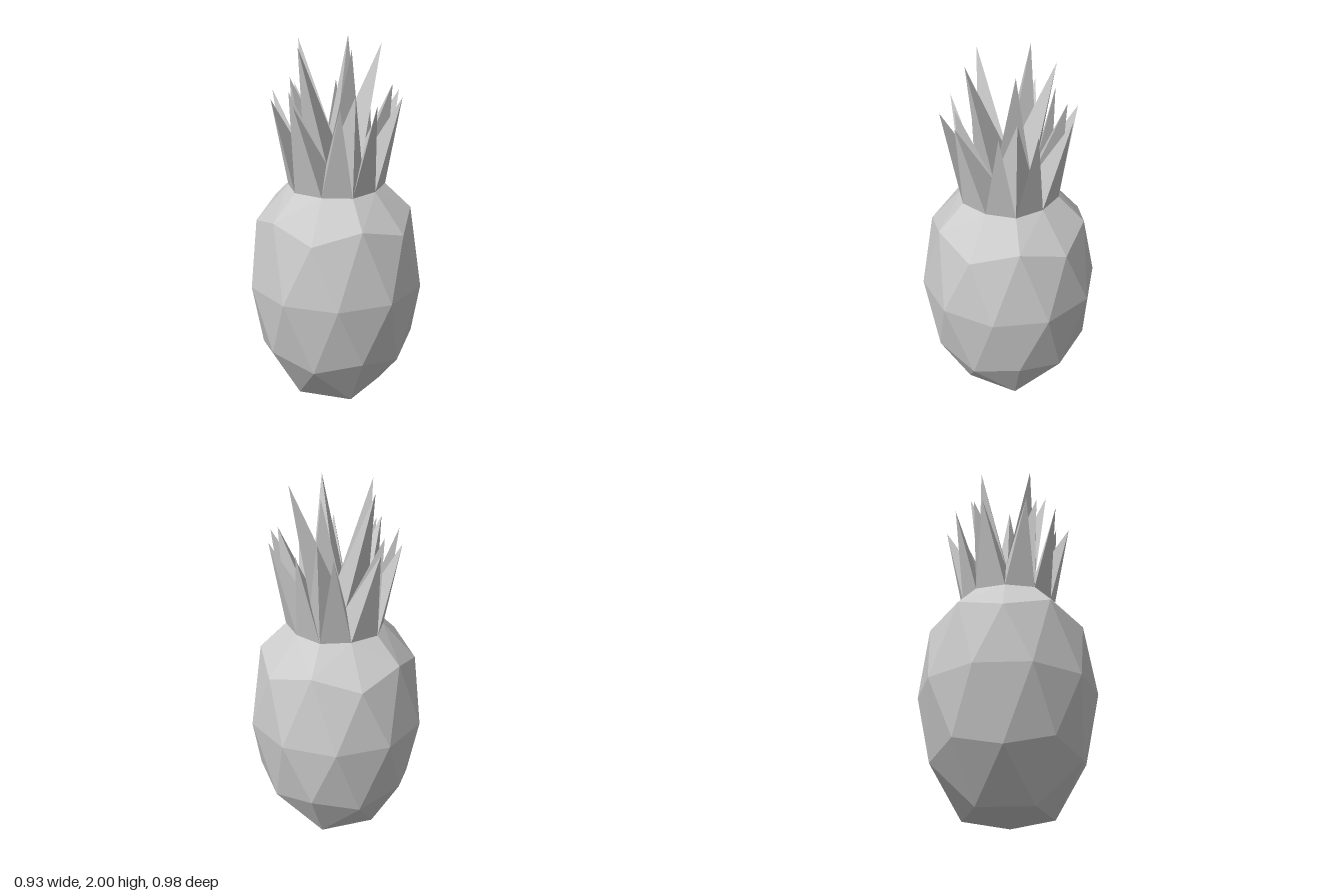
import * as THREE from 'three';

const grey = () => new THREE.MeshStandardMaterial({ color: 0xcccccc, flatShading: true });

// Point from radius, angle in degrees and height
const polar = (r, deg, y) => {
  const a = THREE.MathUtils.degToRad(deg);
  return new THREE.Vector3(r * Math.cos(a), y, r * Math.sin(a));
};

// Ring of ten points that alternates between two [radius, height] pairs
const ring = (even, odd, offset = 0) =>
  Array.from({ length: 10 }, (_, i) => polar((i % 2 ? odd : even)[0], i * 36 + offset, (i % 2 ? odd : even)[1]));

// Faceted mesh; each triangle is wound to face away from the inner point
function facetMesh(name, triangles, inner) {
  const points = [];
  for (const [a, b, c] of triangles) {
    const normal = b.clone().sub(a).cross(c.clone().sub(a));
    const outward = normal.dot(a.clone().sub(inner)) > 0;
    points.push(...(outward ? [a, b, c] : [a, c, b]));
  }
  const geometry = new THREE.BufferGeometry().setFromPoints(points);
  geometry.computeVertexNormals();
  const mesh = new THREE.Mesh(geometry, grey());
  mesh.name = name;
  return mesh;
}

// Leaf: three-sided spike on a base triangle
function leaf(name, base, tip) {
  const [a, b, c] = base;
  const inner = new THREE.Vector3();
  [a, b, c, tip].forEach((p) => inner.addScaledVector(p, 0.25));
  return facetMesh(name, [[a, b, tip], [b, c, tip], [c, a, tip]], inner);
}

export function createModel() {
  const model = new THREE.Group();
  model.name = 'pineapple';

  const collar = ring([0.258, 1.23], [0.272, 1.23]);
  const shoulder = ring([0.438, 1.02], [0.415, 1.09]);
  const equator = ring([0.49, 0.68], [0.49, 0.68], 18);
  const lower = ring([0.417, 0.27], [0.438, 0.33]);
  const foot = ring([0.258, 0.016], [0.258, 0.016]); // only odd points are used
  const bottom = new THREE.Vector3(0, 0, 0);

  // Fruit body: faceted ellipsoid
  const faces = [];
  for (let i = 0; i < 10; i++) {
    const n = (i + 1) % 10;
    for (const band of [shoulder, lower]) {
      faces.push([band[i], band[n], equator[i]], [equator[i], equator[n], band[n]]);
    }
    const even = i % 2 ? n : i;
    const odd = i % 2 ? i : n;
    faces.push([shoulder[even], shoulder[odd], collar[even]], [shoulder[odd], collar[even], collar[odd]]);
    faces.push([lower[even], lower[odd], foot[odd]]);
    if (i % 2) {
      const next = foot[(i + 2) % 10];
      faces.push([lower[n], foot[i], next], [bottom, foot[i], next]);
    }
  }
  model.add(facetMesh('fruitBody', faces, new THREE.Vector3(0, 0.68, 0)));

  // Crown: spikes rising from every facet of a small dome
  const crown = new THREE.Group();
  crown.name = 'crown';
  const top = new THREE.Vector3(0, 1.46, 0);
  for (let k = 0; k < 5; k++) {
    const angle = k * 72 + 36;
    const v0 = polar(0.168, angle - 36, 1.39);
    const v1 = polar(0.168, angle + 36, 1.39);
    const [b0, b1, b2] = [0, 1, 2].map((j) => collar[(2 * k + j) % 10]);
    crown.add(
      leaf('innerLeaf', [top, v0, v1], polar(0.241, angle, 2)),
      leaf('middleLeaf', [b1, v0, v1], polar(0.302, angle, 1.78)),
      leaf('outerLeaf', [b0, b1, v0], polar(0.36, angle - 16, 1.73)),
      leaf('outerLeaf', [b1, b2, v1], polar(0.36, angle + 16, 1.73)),
    );
  }
  model.add(crown);
  return model;
}
